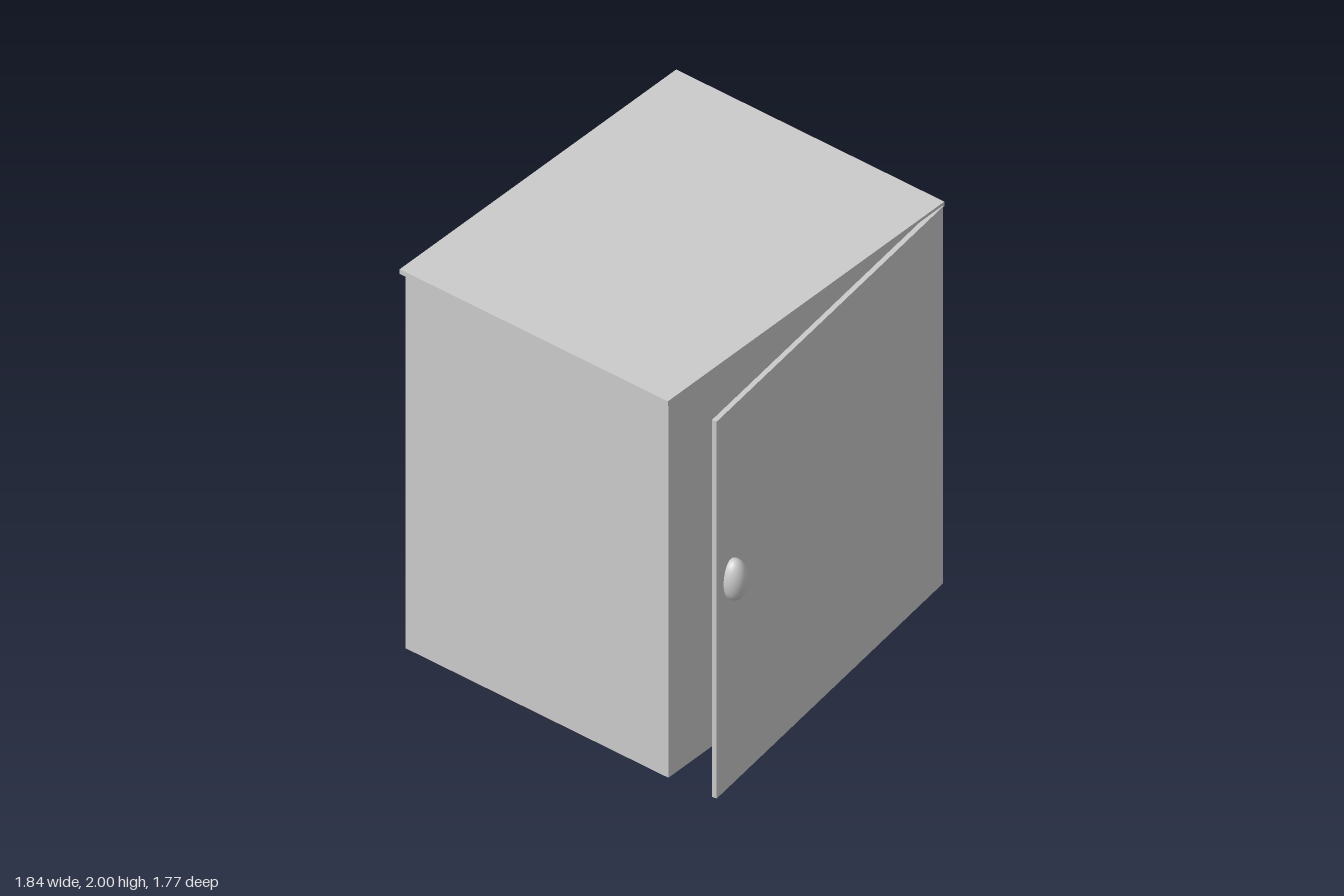
import * as THREE from 'three';

export function createModel() {
  const group = new THREE.Group();
  const material = new THREE.MeshStandardMaterial({ color: 0xcccccc });

  const add = (name, geometry, x, y, z, parent = group) => {
    const mesh = new THREE.Mesh(geometry, material);
    mesh.name = name;
    mesh.position.set(x, y, z);
    parent.add(mesh);
    return mesh;
  };

  // Closed cabinet body with a thin overhanging top
  add('cabinetBody', new THREE.BoxGeometry(1.8, 1.98, 1.44), 0, 0.99, -0.15);
  add('topPanel', new THREE.BoxGeometry(1.835, 0.025, 1.47), -0.002, 1.9875, -0.152);

  // Door standing ajar, hinged on the +x side
  const hinge = new THREE.Group();
  hinge.name = 'doorAssembly';
  hinge.position.set(0.9, 0, 0.576);
  hinge.rotation.y = 0.13;
  group.add(hinge);
  add('door', new THREE.BoxGeometry(1.8, 1.985, 0.024), -0.9, 0.9925, 0, hinge);

  // Egg-shaped knob set through the door near its free edge
  const knob = add('doorKnob', new THREE.SphereGeometry(0.06, 32, 20), -0.77, 1.093, 0.825);
  knob.scale.y = 1.75;

  return group;
}
